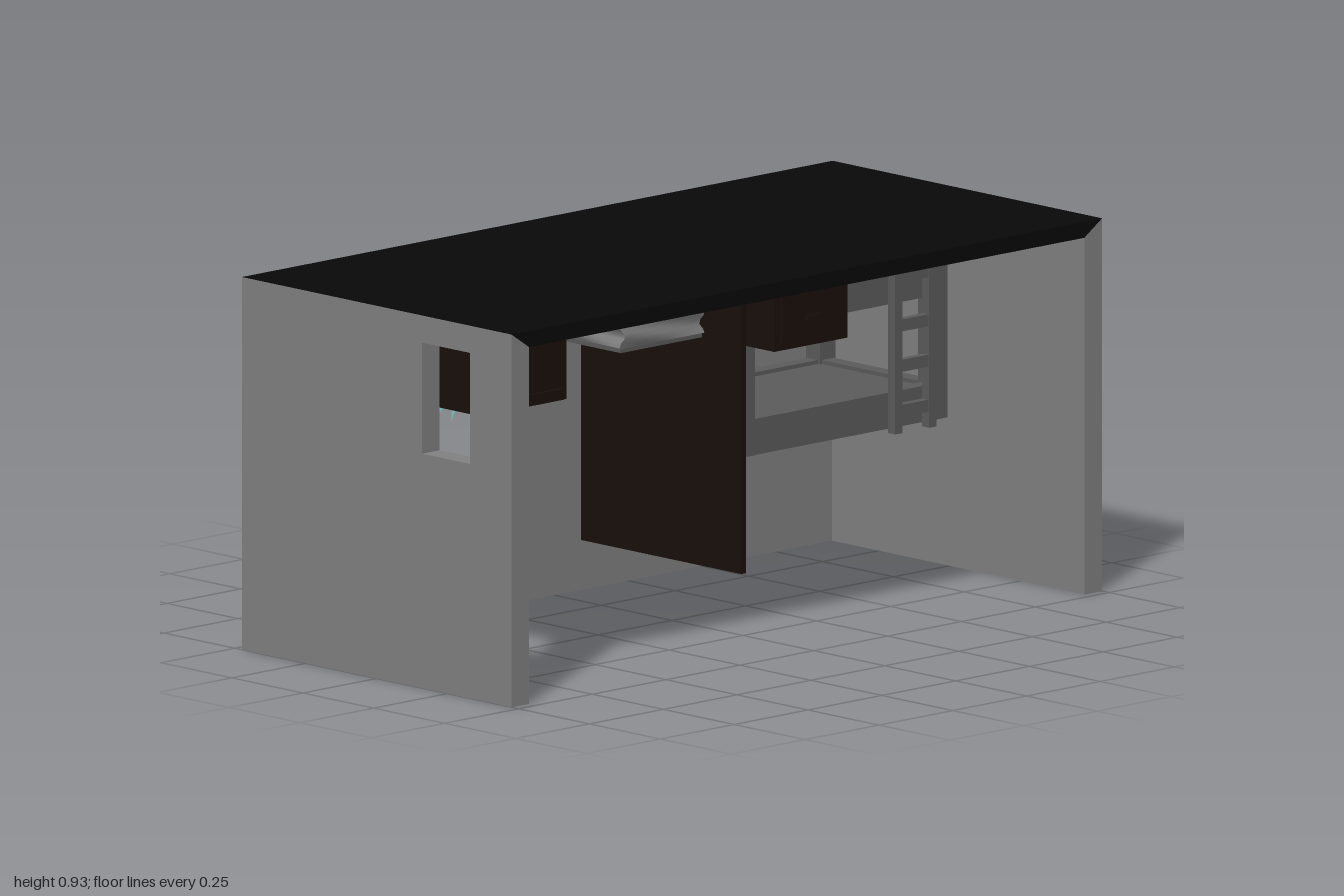
import * as THREE from 'three';

const material = (color, options) => new THREE.MeshStandardMaterial({ color, flatShading: true, ...options });
const WALL = material(0x828282, { side: THREE.DoubleSide });
const CLOTH = material(0x828282, { flatShading: false });
const BED = material(0x5c5c5c);
const BLACK = material(0x080808);
const BROWN = material(0x190f0a);
const GLASS = material(0x8ceae4, { side: THREE.DoubleSide });

const W = 1, D = 0.475, H = 0.93, T = 0.06;
const LOW_FRONT = 0.89, LOW_BACK = 0.815, STAND = 0.84;

function add(parent, name, geometry, mat) {
  const mesh = new THREE.Mesh(geometry, mat);
  mesh.name = name;
  parent.add(mesh);
  return mesh;
}

// Box given by its limits on each axis
function box(parent, name, [x0, x1], [y0, y1], [z0, z1], mat) {
  const g = new THREE.BoxGeometry(x1 - x0, y1 - y0, z1 - z0);
  g.translate((x0 + x1) / 2, (y0 + y1) / 2, (z0 + z1) / 2);
  return add(parent, name, g, mat);
}

// Moves each vertex by a rule and refreshes the normals
function reshape(g, rule) {
  const p = g.attributes.position, v = new THREE.Vector3();
  for (let i = 0; i < p.count; i++) {
    v.fromBufferAttribute(p, i);
    rule(v);
    p.setXYZ(i, v.x, v.y, v.z);
  }
  g.computeVertexNormals();
  return g;
}

const points = list => list.map(([x, y]) => new THREE.Vector2(x, y));
const rect = (x0, x1, y0, y1) => [[x0, y0], [x1, y0], [x1, y1], [x0, y1]];

// Flat sheet with an optional opening
function sheet(outline, hole) {
  const s = new THREE.Shape(points(outline));
  if (hole) s.holes.push(new THREE.Path(points(hole)));
  return new THREE.ShapeGeometry(s);
}

// Hollow walls: an outer and an inner skin, open underneath
function buildShell(group) {
  add(group, 'backWallOuter',
    sheet(rect(-W, W, 0, H), rect(-0.72, -0.2, 0.23, 0.59)).rotateY(Math.PI).scale(-1, 1, 1).translate(0, 0, -D), WALL);
  add(group, 'backWallInner',
    sheet(rect(-W + T, W - T, 0, LOW_BACK), rect(-0.675, -0.24, 0.27, 0.555)).translate(0, 0, -D + T), WALL);

  const door = rect(0.16, 0.33, 0.585, 0.862);
  const inner = [[-D + T, 0], [D, 0], [D, LOW_FRONT], [-D + T, LOW_BACK]];
  for (const s of [1, -1]) {
    const name = s > 0 ? 'leftWall' : 'rightWall';
    const hole = s < 0 ? door : null;
    add(group, name + 'Outer', sheet(rect(-D, D, 0, H), hole).rotateY(-Math.PI / 2).translate(s * W, 0, 0), WALL);
    add(group, name + 'Inner', sheet(inner, hole).rotateY(-Math.PI / 2).translate(s * (W - T), 0, 0), WALL);
    const end = [[s * W, 0], [s * (W - T), 0], [s * (W - T), LOW_FRONT], [s * W, H]];
    add(group, name + 'End', sheet(end).translate(0, 0, D), WALL);
  }

  // Lining of the doorway
  const lining = new THREE.Group();
  lining.name = 'doorLining';
  for (const z of [0.16, 0.33])
    add(lining, 'doorJamb', sheet(rect(-W, -W + T, 0.585, 0.862)).translate(0, 0, z), WALL);
  for (const y of [0.585, 0.862])
    add(lining, 'doorEdge', sheet(rect(-W, -W + T, -0.33, -0.16)).rotateX(-Math.PI / 2).translate(0, y, 0), WALL);
  group.add(lining);

  // Dark slab with a sloping underside
  const slab = reshape(new THREE.BoxGeometry(2 * W, 0.1, 2 * D), v => {
    if (v.y > 0) { v.y = H; return; }
    v.x *= (W - T) / W;
    v.y = v.z < 0 ? LOW_BACK : LOW_FRONT;
    if (v.z < 0) v.z = -D + T;
  });
  add(group, 'slab', slab, BLACK);
}

// Jagged rim of broken pane
function buildGlass(group) {
  const rim = [[-0.667, 0.40], [-0.645, 0.37], [-0.664, 0.335], [-0.632, 0.285], [-0.57, 0.278],
    [-0.5, 0.274], [-0.43, 0.286], [-0.38, 0.274], [-0.33, 0.288], [-0.278, 0.295], [-0.25, 0.355],
    [-0.247, 0.39], [-0.26, 0.43], [-0.247, 0.475], [-0.25, 0.49], [-0.285, 0.54], [-0.305, 0.546],
    [-0.34, 0.48], [-0.335, 0.53], [-0.385, 0.508], [-0.41, 0.546], [-0.5, 0.53], [-0.56, 0.543],
    [-0.655, 0.542], [-0.612, 0.492], [-0.645, 0.476]];
  const pane = sheet(rect(-0.67, -0.244, 0.271, 0.549), rim);
  add(group, 'brokenGlass', pane.translate(0, 0, -0.425), GLASS);
}

// Small wedge-shaped cushion, tilted a little
function pillow(group, name, [x, y, z], [w, h, d], tilt) {
  const m = add(group, name, reshape(new THREE.BoxGeometry(w, h, d), v => {
    if (v.y < 0) { v.x *= 0.85; v.z *= 0.85; }
  }), BED);
  m.position.set(x, y, z);
  m.rotation.z = tilt;
}

function buildCabinet(parent) {
  const g = new THREE.Group();
  g.name = 'cabinet';
  box(g, 'cabinetBody', [-0.605, -0.31], [0.59, STAND], [-0.415, -0.05], BROWN);
  box(g, 'cabinetDrawer', [-0.59, -0.325], [0.592, 0.62], [-0.05, -0.04], BROWN);
  parent.add(g);
}

function buildLowBed(parent) {
  const g = new THREE.Group();
  g.name = 'lowBed';
  // Rumpled cover
  const cover = new THREE.BoxGeometry(0.27, 0.112, 0.5, 10, 10, 16);
  reshape(cover, v => {
    const wave = Math.sin(v.y * 130 + v.z * 9);
    if (Math.abs(v.x) > 0.13) v.x += Math.sign(v.x) * 0.006 * wave;
    if (Math.abs(v.z) > 0.24) v.z += 0.004 * Math.sin(v.y * 110 + v.x * 14);
  });
  add(g, 'cover', cover.translate(-0.12, 0.785, -0.16), CLOTH);
  box(g, 'bedBoard', [-0.26, 0.015], [0.718, 0.729], [-0.415, 0.09], BED);
  pillow(g, 'lowBedPillow', [-0.14, 0.7, -0.3], [0.1, 0.04, 0.16], 0.08);
  parent.add(g);
}

function buildBunk(parent) {
  const g = new THREE.Group();
  g.name = 'bunkBed';
  // Corner posts
  for (const x of [0.2, 0.852])
    for (const z of [-0.415, -0.02])
      box(g, 'bunkPost', [x, x + 0.052], [0.38, STAND], [z, z + 0.05], BED);
  // Rails around each bunk and the mattress between them
  for (const [y0, y1] of [[0.38, 0.47], [0.69, 0.79]]) {
    for (const z of [-0.41, -0.01])
      box(g, 'longRail', [0.25, 0.854], [y0, y1], [z, z + 0.038], BED);
    for (const x of [0.205, 0.858])
      box(g, 'endRail', [x, x + 0.04], [y0, y1], [-0.365, -0.02], BED);
    box(g, 'mattress', [0.245, 0.858], [y0 + 0.02, y1 - 0.01], [-0.375, -0.01], BED);
  }
  // Ladder
  for (const x of [0.703, 0.818])
    box(g, 'ladderRail', [x, x + 0.024], [0.37, STAND], [0.03, 0.055], BED);
  for (const y of [0.425, 0.537, 0.638, 0.76])
    box(g, 'ladderRung', [0.727, 0.818], [y - 0.015, y + 0.015], [0.032, 0.052], BED);
  pillow(g, 'bunkPillow', [0.3, 0.378, -0.2], [0.1, 0.03, 0.18], 0.06);
  parent.add(g);
}

function buildNightstand(parent) {
  const g = new THREE.Group();
  g.name = 'nightstand';
  box(g, 'nightstandBody', [0.212, 0.46], [0.66, STAND], [0.03, 0.14], BROWN);
  box(g, 'drawerFront', [0.232, 0.44], [0.682, 0.825], [0.14, 0.147], BROWN);
  box(g, 'drawerHandle', [0.31, 0.36], [0.725, 0.738], [0.147, 0.156], BROWN);
  parent.add(g);
}

export function createModel() {
  const model = new THREE.Group();
  model.name = 'room';
  buildShell(model);
  buildGlass(model);
  box(model, 'partition', [0.09, 0.106], [0.125, STAND], [-0.416, 0.15], BROWN);
  buildCabinet(model);
  buildLowBed(model);
  buildBunk(model);
  buildNightstand(model);
  return model;
}
